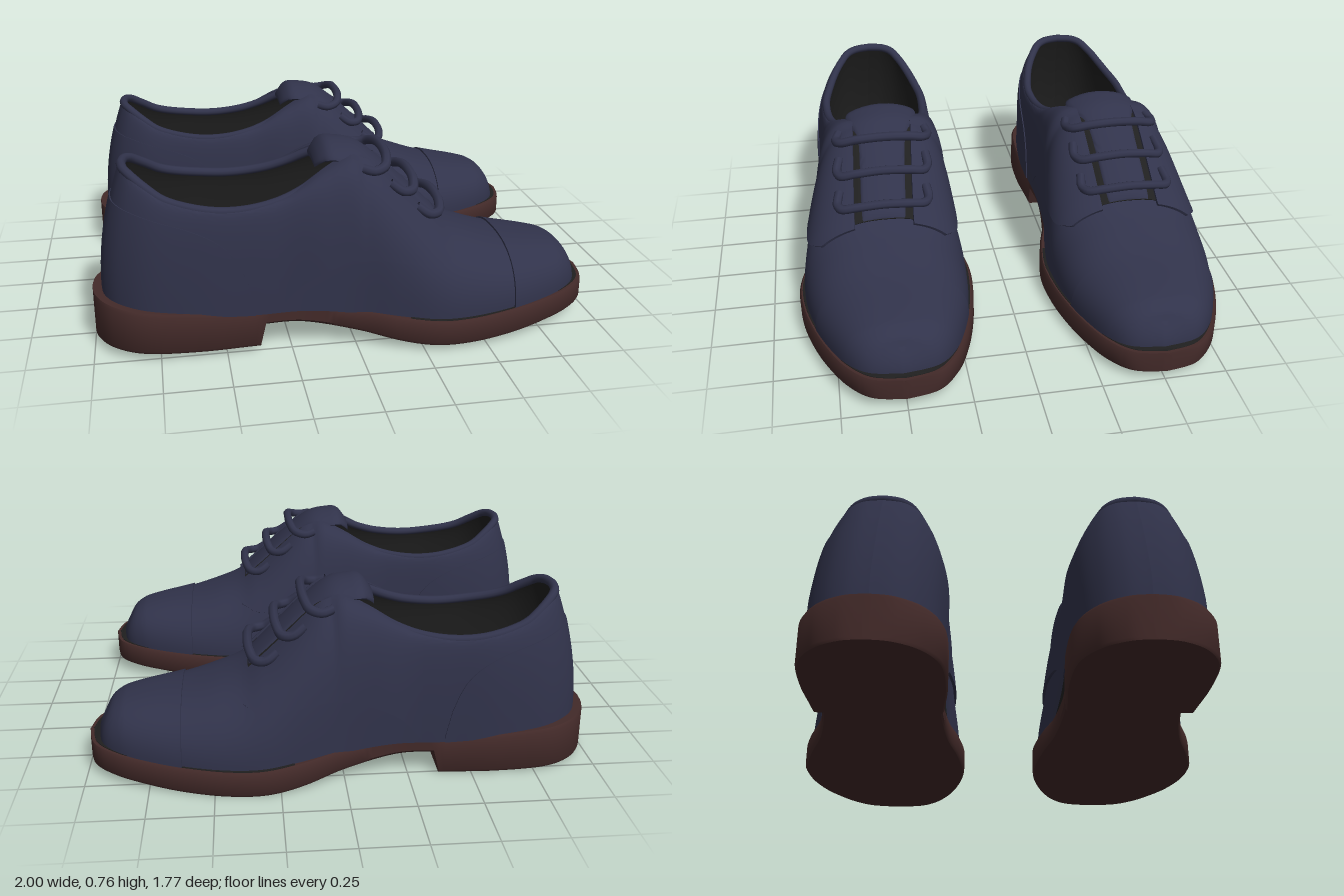
import * as THREE from 'three';
import { toCreasedNormals } from 'three/addons/utils/BufferGeometryUtils.js';

const V = (x, y, z) => new THREE.Vector3(x, y, z);
const clamp = THREE.MathUtils.clamp;
const spow = (a, e) => Math.sign(a) * Math.abs(a) ** e;

// smooth curve through [x, value] pairs
function table(pts) {
  const slope = i => {
    const a = pts[Math.max(i - 1, 0)], b = pts[Math.min(i + 1, pts.length - 1)];
    return (b[1] - a[1]) / (b[0] - a[0]);
  };
  return x => {
    x = clamp(x, pts[0][0], pts[pts.length - 1][0]);
    let i = 0;
    while (i < pts.length - 2 && x > pts[i + 1][0]) i++;
    const [x0, y0] = pts[i], [x1, y1] = pts[i + 1], h = x1 - x0, t = (x - x0) / h;
    return y0 * (1 + 2 * t) * (1 - t) ** 2 + y1 * t * t * (3 - 2 * t)
      + h * (slope(i) * t * (1 - t) ** 2 + slope(i + 1) * t * t * (t - 1));
  };
}

// surface through rows of points
function loft(rows, crease = 0.7) {
  const n = rows[0].length, idx = [];
  for (let i = 0; i < rows.length - 1; i++) for (let j = 0; j < n - 1; j++) {
    const a = i * n + j, b = a + n;
    idx.push(a, b, a + 1, b, b + 1, a + 1);
  }
  const g = new THREE.BufferGeometry().setFromPoints(rows.flat());
  g.setIndex(idx);
  return toCreasedNormals(g, crease);
}

// half outlines seen from above: (length, half width)
const outline = pts => new THREE.SplineCurve(pts.map(p => new THREE.Vector2(...p)));
const upperPlan = outline([[-.96, 0], [-.945, .09], [-.89, .17], [-.78, .235], [-.6, .265], [-.4, .265], [-.2, .262],
  [0, .275], [.15, .31], [.3, .338], [.45, .333], [.6, .305], [.75, .255], [.86, .2], [.93, .125], [.955, 0]]);
const solePlan = outline([[-1, 0], [-.985, .1], [-.92, .2], [-.8, .265], [-.6, .278], [-.4, .263], [-.2, .25],
  [0, .278], [.15, .33], [.3, .362], [.45, .355], [.6, .325], [.75, .278], [.88, .217], [.97, .132], [1, 0]]);
function uAt(plan, x) {
  let a = 0, b = 1;
  for (let i = 0; i < 40; i++) {
    const m = (a + b) / 2;
    if (plan.getPoint(m).x < x) a = m; else b = m;
  }
  return (a + b) / 2;
}

// height profiles along the shoe
const soleTop = table([[-1, .19], [-.7, .17], [-.4, .15], [-.2, .15], [0, .13], [.2, .11], [.35, .1], [.6, .105], [.9, .12], [1, .125]]);
const archBottom = table([[-1, .09], [-.3, .09], [-.2, .083], [0, .045], [.2, .01], [.35, 0], [.6, .005], [.8, .02], [1, .035]]);
const soleBottom = x => x < -.355 ? .012 * (-.355 - x) / .645 : archBottom(x);
const base = x => soleTop(x) - .012;
const ridge = table([[-.96, .685], [-.92, .672], [-.85, .638], [-.75, .592], [-.6, .56], [-.45, .55], [-.3, .567], [-.2, .6], [-.1, .65],
  [0, .69], [.05, .688], [.1, .66], [.2, .57], [.3, .478], [.38, .41], [.5, .358], [.62, .32], [.8, .285], [.88, .265], [.93, .243], [.955, .215]]);
const openRatio = table([[-.96, .82], [-.87, .75], [-.72, .8], [-.55, .86], [-.35, .83], [-.2, .72], [-.1, .55], [0, .32], [.04, 0], [.2, 0], [1, 0]]);
const open = x => x >= .04 ? 0 : Math.max(0, openRatio(x));
const power = table([[-.96, .85], [-.4, .75], [0, .62], [.15, .71], [.3, .85], [.6, .82], [.96, .75]]);

// inward curve of the last: heel, toe and the top edge sit nearer the other shoe
const lastCurve = table([[-1, .02], [-.1, .018], [.35, 0], [.6, .004], [1, .02]]);
const inward = (x, y) => lastCurve(x) + .022 * clamp((y - .3) / .4, 0, 1.1);

// point on the upper; s runs 0 at the sole, 1 at the rim or ridge, 2 at the far side
function rawPoint(u, s, side) {
  const { x, y: w } = upperPlan.getPoint(clamp(u, 0, 1)), a = s * Math.PI / 2, e = power(x);
  const r = w * open(x), b = base(x), k = spow(Math.sin(a), e), y = b + (ridge(x) - b) * k;
  const heelLean = .09 * (Math.max(y - b, 0) / .5) ** 2 * clamp((-.3 - x) / .66, 0, 1);
  const toeLean = .04 * k * k * clamp((x - .85) / .105, 0, 1);
  return V(x + heelLean - toeLean, y, side * (r + (w - r) * spow(Math.cos(a), e)));
}
function upperPoint(u, s, side, off = 0) {
  const p = rawPoint(u, s, side);
  if (!off) return p;
  const d = .004;
  const du = rawPoint(Math.min(u + d, 1), s, side).sub(rawPoint(Math.max(u - d, 0), s, side));
  const ds = rawPoint(u, s + d, side).sub(rawPoint(u, s - d, side));
  const n = du.cross(ds).normalize();
  if (u <= 0 || u >= 1) n.setZ(0).normalize();
  if (n.dot(V(p.x - p.x * .8, p.y - .15, p.z)) < 0) n.negate();
  return p.addScaledVector(n, off);
}
const sAtY = (x, y) => {
  const b = base(x), k = clamp((y - b) / (ridge(x) - b), 0, 1);
  return Math.asin(k ** (1 / power(x))) * 2 / Math.PI;
};
const sAtZ = (x, z) => {
  const w = upperPlan.getPoint(uAt(upperPlan, x)).y, r = w * open(x);
  return Math.acos(clamp((z - r) / (w - r), 0, 1) ** (1 / power(x))) * 2 / Math.PI;
};

// patch of the upper between two positions, raised by off(x) with turned-down edges
function patch(xA, xB, sA, sB, side, off, nu = 40, nv = 16, skirt = true) {
  const uA = xA <= -.96 ? 0 : uAt(upperPlan, xA), uB = xB >= .955 ? 1 : uAt(upperPlan, xB), rows = [];
  for (let i = 0; i <= nu; i++) {
    const iu = skirt ? clamp((i - 1) / (nu - 2), 0, 1) : i / nu, u = uA + (uB - uA) * iu;
    const x = upperPlan.getPoint(u).x, a = sA(x), b = sB(x), row = [];
    for (let j = 0; j <= nv; j++) {
      const jv = skirt ? clamp((j - 1) / (nv - 2), 0, 1) : j / nv;
      const edge = skirt && (i === 0 || i === nu || j === 0 || j === nv);
      row.push(upperPoint(u, a + (b - a) * jv, side, edge ? 0 : off(x)));
    }
    rows.push(row);
  }
  return loft(rows, 1);
}

// solid following the sole outline, closed at both ends
function slab(xA, xB, top, bottom, inset = 0) {
  const uA = xA <= -1 ? 0 : uAt(solePlan, xA), uB = xB >= 1 ? 1 : uAt(solePlan, xB), rows = [], n = 140;
  for (let i = 0; i <= n; i++) {
    const p = solePlan.getPoint(uA + (uB - uA) * i / n), x = p.x * (1 - inset), w = Math.max(p.y - inset, 0);
    const t = top(p.x), b = bottom(p.x), v = Math.max(w - .008, 0), m = Math.min((t - b) * .15, .012);
    const half = [[v, t], [w, t - m], [w, b + m], [v, b]];
    const loop = [...half.map(([z, y]) => V(x, y, z)), ...half.reverse().map(([z, y]) => V(x, y, -z))];
    loop.push(loop[0].clone());
    rows.push(loop);
  }
  const cap = r => r.map(() => V(r[0].x, (r[0].y + r[3].y) / 2, 0));
  return loft([cap(rows[0]), ...rows, cap(rows[n])], .6);
}

export function createModel() {
  const material = (name, color) => {
    const m = new THREE.MeshStandardMaterial({ color, side: THREE.DoubleSide });
    m.name = name;
    return m;
  };
  const navy = material('navy leather', 0x31334b), brown = material('brown sole', 0x432a29), dark = material('dark lining', 0x1f1f1f);
  const shoe = new THREE.Group();
  const add = (name, geometry, mat) => {
    const p = geometry.attributes.position;
    for (let i = 0; i < p.count; i++) p.setZ(i, p.getZ(i) - inward(p.getX(i), p.getY(i)));
    const m = new THREE.Mesh(geometry, mat);
    m.name = name;
    shoe.add(m);
  };
  const zero = () => 0, one = () => 1, two = () => 2;

  // sole with heel, dark welt seam at the front, insole
  add('sole', slab(-1, 1, soleTop, soleBottom), brown);
  add('weltSeam', slab(.2, 1, x => soleTop(x) + .003, x => soleTop(x) - .004, .013), dark);
  add('insole', slab(-1, .3, x => soleTop(x) + .03, x => soleTop(x) - .005, .06), dark);

  // upper shell, lining and raised leather panels on both sides
  const counterTop = table([[-.96, .56], [-.8, .525], [-.6, .47], [-.48, .39], [-.42, .28], [-.39, .16]]);
  const quarterLow = table([[-.3, .15], [-.22, .24], [-.1, .305], [.05, .34], [.2, .325], [.3, .305], [.38, .33]]);
  const quarterRise = x => .013 * THREE.MathUtils.smoothstep(x, -.3, -.12);
  for (const side of [1, -1]) {
    add('upper', patch(-.96, .955, zero, one, side, zero, 130, 24, false), navy);
    add('lining', patch(-.96, .3, zero, one, side, () => -.016, 80, 16, false), dark);
    add('heelCounter', patch(-.96, -.39, zero, x => sAtY(x, counterTop(x)), side, () => .005), navy);
    add('quarter', patch(-.3, .38, x => sAtY(x, quarterLow(x)), x => x < -.05 ? 1 : sAtZ(x, .118), side, quarterRise, 50, 18), navy);
  }
  add('toeCap', patch(.62, .955, zero, two, 1, () => .007, 40, 40), navy);

  // padded rim round the opening, sunk into the top edge
  const rim = [], uFront = uAt(upperPlan, 0);
  for (let i = -30; i <= 30; i++) {
    const p = upperPoint(uFront * Math.abs(i) / 30, 1, i < 0 ? -1 : 1);
    rim.push(V(p.x + .008 * clamp((-.7 - p.x) / .15, 0, 1), p.y - .008, p.z * .97));
  }
  add('collar', new THREE.TubeGeometry(new THREE.CatmullRomCurve3(rim), 120, .018, 10), navy);

  // throat and tongue
  add('throat', patch(.05, .36, x => sAtZ(x, .125), x => 2 - sAtZ(x, .125), 1, () => .004), dark);
  const tongueY = table([[-.13, .68], [-.09, .73], [-.04, .735], [.05, .715], [.15, .64], [.25, .548], [.36, .44]]);
  const tongueW = table([[-.13, .09], [-.08, .145], [0, .14], [.1, .1], [.36, .09]]);
  const tongue = [];
  for (let i = 0; i <= 30; i++) {
    const x = -.13 + .49 * i / 30, w = tongueW(x), loop = [];
    for (let j = 0; j <= 24; j++) {
      const a = j / 24 * Math.PI * 2, z = w * Math.cos(a);
      loop.push(V(x, tongueY(x) - 1.5 * z * z + .014 * (spow(Math.sin(a), .5) - 1), z));
    }
    tongue.push(loop);
  }
  const tongueEnd = r => r.map(() => V(r[0].x, r[6].y - .014, 0));
  add('tongue', loft([tongueEnd(tongue[0]), ...tongue, tongueEnd(tongue[30])], 1), navy);

  // three laces
  const laceHalf = [[-.08, .172, .014], [-.04, .176, .026], [-.012, .155, .042], [0, .1, .052], [.003, 0, .056]];
  for (const c of [.11, .215, .32]) {
    const at = ([dx, z, lift], sign) => upperPoint(uAt(upperPlan, c + dx), sAtZ(c + dx, z), sign, lift);
    const pts = [...laceHalf.map(h => at(h, 1)), ...laceHalf.slice(0, -1).reverse().map(h => at(h, -1))];
    add('lace', new THREE.TubeGeometry(new THREE.CatmullRomCurve3(pts), 48, .019, 8), navy);
  }

  // the pair
  const model = new THREE.Group();
  model.name = 'pairOfShoes';
  const left = shoe, right = shoe.clone();
  left.name = 'frontShoe';
  right.name = 'backShoe';
  left.position.set(0, .02, .521);
  right.position.z = -.525;
  right.scale.z = -1;
  model.add(left, right);
  return model;
}
